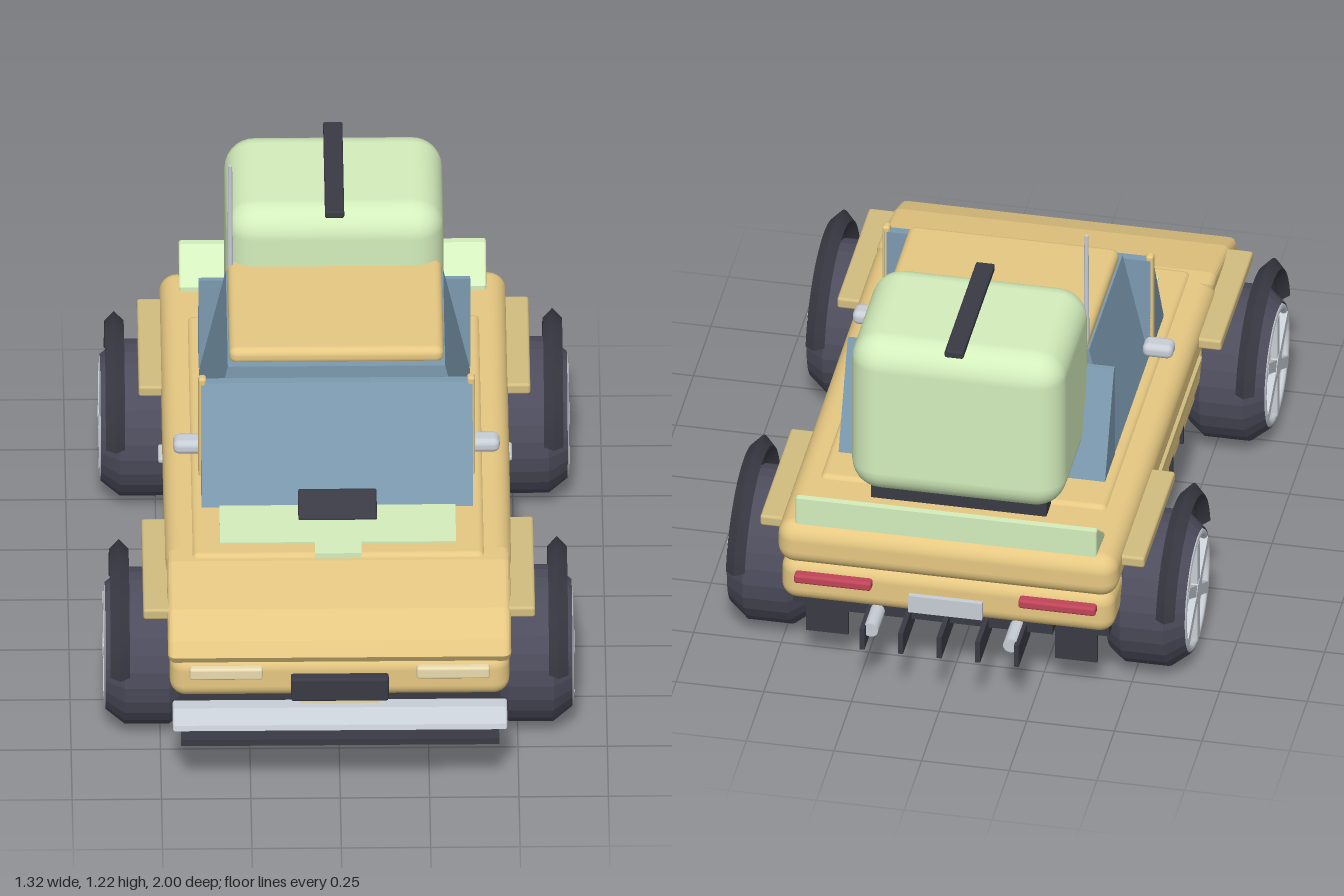
import * as THREE from 'three';
import { RoundedBoxGeometry } from 'three/addons/geometries/RoundedBoxGeometry.js';

const mat = (color, extra = {}) => new THREE.MeshStandardMaterial({ color, ...extra });
const TAN = mat(0xe6c882), SHELF = mat(0xd2bd80), GREEN = mat(0xd4eebc), GLASS = mat(0x7c9ab0);
const DARK = mat(0x3a3a45), ARCH = mat(0x3a3a45, { side: THREE.DoubleSide, flatShading: true });
const RUBBER = mat(0x4c4c5c, { flatShading: true }), METAL = mat(0xc8ced6);
const RED = mat(0xc04558), LAMP = mat(0xeadbb0);

export function createModel() {
  const root = new THREE.Group();

  function add(name, geo, material, parent = root) {
    const m = new THREE.Mesh(geo, material);
    m.name = name;
    parent.add(m);
    return m;
  }
  // Box from its limits, rounded when a radius is given
  function box(name, [x0, x1], [y0, y1], [z0, z1], material, r = 0, parent = root) {
    const w = x1 - x0, h = y1 - y0, d = z1 - z0;
    const geo = r ? new RoundedBoxGeometry(w, h, d, 4, r) : new THREE.BoxGeometry(w, h, d);
    const m = add(name, geo, material, parent);
    m.position.set((x0 + x1) / 2, (y0 + y1) / 2, (z0 + z1) / 2);
    return m;
  }
  // The same box on both sides
  function pair(name, [x0, x1], y, z, material, r = 0) {
    box(name + 'Left', [x0, x1], y, z, material, r);
    box(name + 'Right', [-x1, -x0], y, z, material, r);
  }
  // Side profile of [z, y] points extruded across x
  function prism(name, points, halfWidth, material, bevel = 0) {
    const shape = new THREE.Shape(points.map(p => new THREE.Vector2(...p)));
    const depth = 2 * (halfWidth - bevel);
    const geo = new THREE.ExtrudeGeometry(shape, {
      depth, bevelEnabled: bevel > 0, bevelSize: bevel, bevelThickness: bevel,
      bevelOffset: -bevel, bevelSegments: 4,
    });
    geo.translate(0, 0, -depth / 2).rotateY(-Math.PI / 2);
    return add(name, geo, material);
  }

  // Body
  box('lowerBody', [-0.475, 0.475], [0.245, 0.385], [-0.9, 0.87], TAN, 0.045);
  box('upperBody', [-0.485, 0.485], [0.37, 0.505], [-0.91, 0.56], TAN, 0.05);
  prism('hood', [[0.5, 0.365], [0.86, 0.365], [0.875, 0.39], [0.85, 0.43], [0.75, 0.47], [0.56, 0.505], [0.5, 0.505]],
    0.48, TAN, 0.02);
  box('deck', [-0.41, 0.41], [0.46, 0.515], [-0.66, 0.55], TAN, 0.02);
  box('hoodPanel', [-0.33, 0.33], [0.505, 0.52], [0.2, 0.49], GREEN);
  box('hoodPanelTab', [-0.065, 0.065], [0.505, 0.522], [0.48, 0.55], GREEN);
  prism('hoodScoop', [[0.27, 0.515], [0.38, 0.515], [0.38, 0.525], [0.29, 0.56], [0.27, 0.56]], 0.11, DARK, 0.006);

  // Chassis and rocker panels
  box('chassis', [-0.45, 0.45], [0.2, 0.28], [-0.83, 0.83], DARK);
  pair('rocker', [0.44, 0.46], [0.218, 0.258], [-0.36, 0.36], TAN);
  for (const z of [-0.2, -0.01, 0.14]) pair('rockerDivider', [0.45, 0.47], [0.21, 0.33], [z - 0.007, z + 0.007], DARK);
  pair('doorTrim', [0.47, 0.483], [0.355, 0.37], [-0.34, 0.34], SHELF);

  // Cabin, tapering toward the roof
  const cabin = new THREE.BoxGeometry(0.76, 0.34, 0.48);
  const pos = cabin.attributes.position;
  for (let i = 0; i < pos.count; i++) if (pos.getY(i) > 0) pos.setX(i, pos.getX(i) * 0.8);
  cabin.computeVertexNormals();
  add('cabinGlass', cabin, GLASS).position.set(0, 0.68, -0.14);
  prism('windshield', [[0.12, 0.51], [0.31, 0.51], [0.145, 0.825], [0.12, 0.825]], 0.38, GLASS);
  prism('rearGlass', [[-0.535, 0.51], [-0.39, 0.51], [-0.39, 0.81], [-0.405, 0.81]], 0.38, GLASS);
  pair('pillar', [0.365, 0.387], [0.51, 0.84], [0.12, 0.148], TAN, 0.008);
  box('roof', [-0.3, 0.3], [0.84, 0.89], [-0.385, 0.08], TAN, 0.022);
  pair('mirror', [0.37, 0.457], [0.55, 0.593], [0.04, 0.1], METAL, 0.018);
  pair('doorHandle', [0.47, 0.495], [0.315, 0.332], [-0.285, -0.21], METAL, 0.006);

  // Cargo bag with strap, and aerial
  box('cargoBag', [-0.305, 0.305], [0.55, 1.06], [-0.79, -0.34], GREEN, 0.085);
  box('bagStrap', [-0.027, 0.027], [1.053, 1.076], [-0.79, -0.335], DARK, 0.006);
  box('bagRest', [-0.25, 0.25], [0.5, 0.57], [-0.72, -0.45], DARK);
  add('aerial', new THREE.CylinderGeometry(0.006, 0.009, 0.45, 10), METAL).position.set(-0.292, 0.995, -0.357);

  // Rear spoiler, lights and plate
  prism('spoiler', [[-0.905, 0.515], [-0.785, 0.505], [-0.785, 0.52], [-0.885, 0.6], [-0.905, 0.6]], 0.43, GREEN, 0.007);
  pair('tailLight', [0.21, 0.43], [0.325, 0.353], [-0.925, -0.89], RED, 0.008);
  box('rearPlate', [-0.105, 0.105], [0.265, 0.32], [-0.915, -0.88], METAL);

  // Diffuser, exhausts and mud flaps
  box('diffuser', [-0.3, 0.3], [0.22, 0.26], [-0.88, -0.8], DARK);
  for (let i = -2; i <= 2; i++) {
    box('diffuserFin', [i * 0.11 - 0.007, i * 0.11 + 0.007], [0.18, 0.25], [-1, -0.83], DARK);
  }
  for (const s of [-1, 1]) {
    const pipe = add('exhaust', new THREE.CylinderGeometry(0.022, 0.022, 0.18, 16), METAL);
    pipe.rotation.x = Math.PI / 2;
    pipe.position.set(s * 0.2, 0.235, -0.89);
  }
  pair('mudFlap', [0.295, 0.415], [0.1, 0.25], [-0.82, -0.807], DARK);

  // Nose
  pair('headlight', [0.215, 0.42], [0.32, 0.358], [0.85, 0.885], LAMP, 0.008);
  box('frontPlate', [-0.137, 0.137], [0.257, 0.333], [0.86, 0.9], DARK, 0.008);
  box('plateHolder', [-0.11, 0.11], [0.24, 0.26], [0.85, 0.89], LAMP);
  prism('bumper', [[0.87, 0.205], [0.965, 0.205], [0.96, 0.22], [0.91, 0.245], [0.87, 0.245]], 0.468, METAL, 0.007);
  box('splitterTrim', [-0.43, 0.43], [0.19, 0.206], [0.84, 0.95], LAMP);
  box('splitter', [-0.445, 0.445], [0.175, 0.195], [0.84, 0.995], DARK);

  // Wheel: tyre turned around the axle, with a spoked rim on the outside
  function wheel(name) {
    const g = new THREE.Group();
    g.name = name;
    const profile = [[0, -0.115], [0.17, -0.115], [0.185, -0.11], [0.22, -0.065], [0.22, 0.06],
      [0.178, 0.113], [0.168, 0.09], [0, 0.09]].map(p => new THREE.Vector2(...p));
    add('tyre', new THREE.LatheGeometry(profile, 28).rotateZ(-Math.PI / 2), RUBBER, g);
    add('rimRing', new THREE.TorusGeometry(0.165, 0.011, 8, 32).rotateY(Math.PI / 2), METAL, g).position.x = 0.106;
    add('brakeDisc', new THREE.CylinderGeometry(0.113, 0.113, 0.016, 28).rotateZ(Math.PI / 2), GREEN, g).position.x = 0.09;
    add('hub', new THREE.CylinderGeometry(0.036, 0.036, 0.04, 16).rotateZ(Math.PI / 2), METAL, g).position.x = 0.1;
    for (let i = 0; i < 6; i++) {
      add('spoke', new THREE.BoxGeometry(0.022, 0.155, 0.032).translate(0.107, 0.085, 0), METAL, g)
        .rotation.x = i * Math.PI / 3;
    }
    return g;
  }

  // Wheels, arches and fender shelves at each corner
  for (const [end, z, z0, z1] of [['front', 0.555, 0.285, 0.745], ['rear', -0.585, -0.815, -0.37]]) {
    for (const s of [1, -1]) {
      const w = wheel(end + 'Wheel');
      w.position.set(s * 0.54, 0.22, z);
      if (s < 0) w.rotation.y = Math.PI;
      root.add(w);
      const arch = new THREE.TorusGeometry(0.262, 0.027, 4, 28, Math.PI - 0.4).rotateZ(0.2).rotateY(Math.PI / 2);
      add(end + 'Arch', arch, ARCH).position.set(s * 0.613, 0.23, z);
    }
    pair(end + 'FenderShelf', [0.45, 0.548], [0.432, 0.466], [z0, z1], SHELF, 0.008);
  }
  return root;
}
